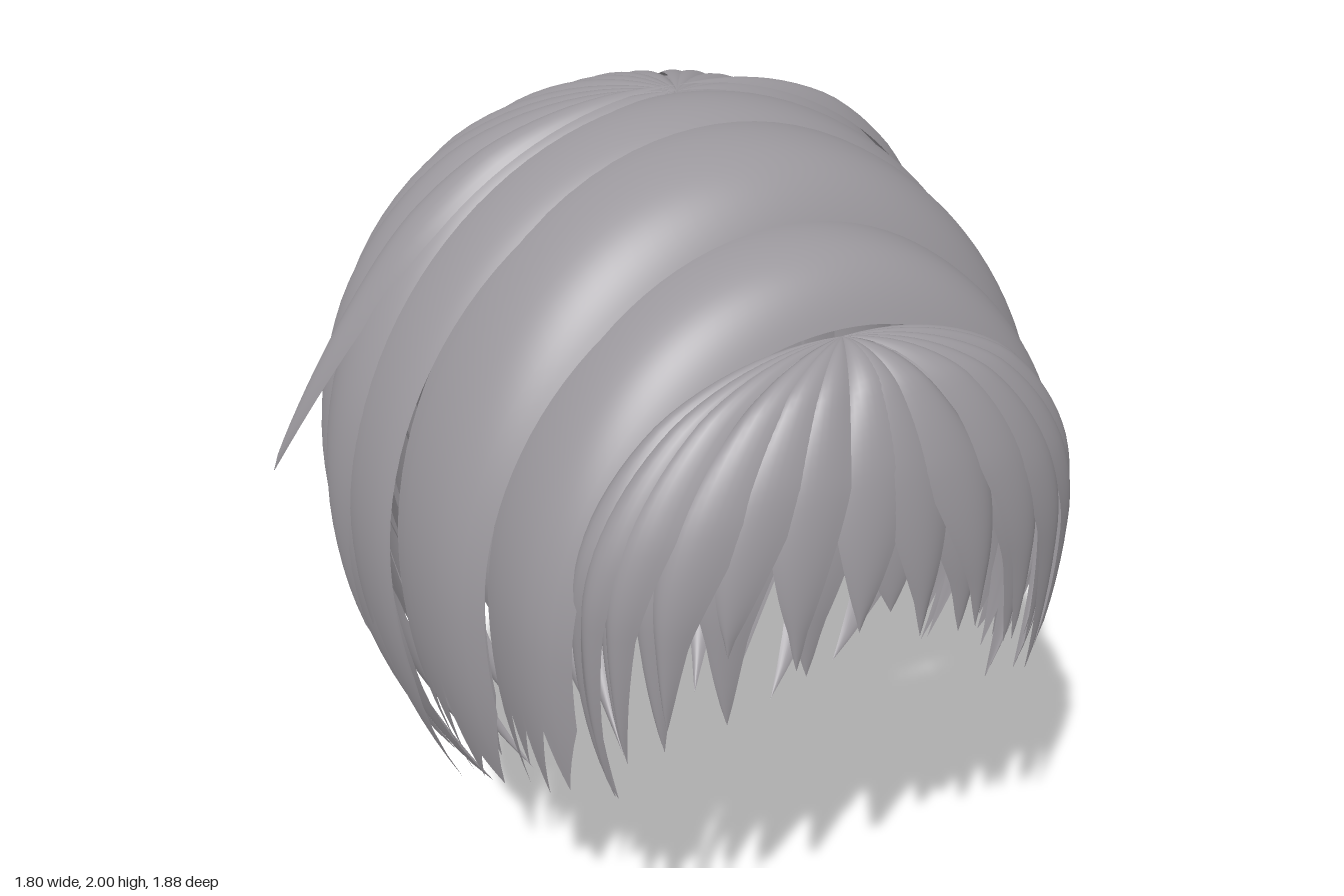
import * as THREE from 'three';

const hairMat = new THREE.MeshStandardMaterial({ color: 0x9b989d, side: THREE.DoubleSide });
hairMat.name = 'greyHair';

const rad = THREE.MathUtils.degToRad;

// Smooth sheet from a rule fn(u, v), wound so its front faces away from the head centre
function sheet(name, nu, nv, fn) {
  const pos = [], idx = [];
  for (let j = 0; j <= nv; j++) {
    for (let i = 0; i <= nu; i++) pos.push(...fn(i / nu, j / nv));
  }
  const at = k => new THREE.Vector3().fromArray(pos, k * 3);
  const w = nu + 1;
  const k = Math.floor(nv * 0.3) * w + Math.floor(nu / 2);
  const normal = at(k + w).sub(at(k)).cross(at(k + 1).sub(at(k)));
  const flip = normal.dot(at(k).sub(new THREE.Vector3(0, 1, 0))) < 0;
  for (let j = 0; j < nv; j++) {
    for (let i = 0; i < nu; i++) {
      const a = j * w + i, b = a + 1, c = a + w, d = c + 1;
      if (flip) idx.push(a, b, c, b, d, c);
      else idx.push(a, c, b, b, c, d);
    }
  }
  const geo = new THREE.BufferGeometry();
  geo.setAttribute('position', new THREE.Float32BufferAttribute(pos, 3));
  geo.setIndex(idx);
  geo.computeVertexNormals();
  const mesh = new THREE.Mesh(geo, hairMat);
  mesh.name = name;
  return mesh;
}

// Head profile: quarter ellipse from the pole to the equator, then tucking inward
const DROP = 1.35;
function profile(s, top, eq) {
  if (s <= 1) {
    const t = s * Math.PI / 2;
    return { r: Math.sin(t), y: eq + (top - eq) * Math.cos(t), up: Math.cos(t) };
  }
  const q = (s - 1) * DROP;
  return { r: 1 - 0.51 * q * q, y: eq - q, up: 0 };
}
function reach(y, top, eq) {
  return y < eq ? 1 + (eq - y) / DROP : Math.acos((y - eq) / (top - eq)) * 2 / Math.PI;
}

// One pointed lock running from the pole of a dome to its tip at angle a; curl swings its root
function lock(name, dome, { a, hw, end, scale = 1, lift = 0.03, curl = 0, flare = 0, taper = 0.62, tilt = 0 }) {
  const { rx, rz, z0, dir, eq } = dome;
  const top = dome.top - (1 - scale) * 0.5;
  const sEnd = reach(end, top, eq);
  return sheet(name, 10, 32, (u, v) => {
    const e = u * 2 - 1;
    const width = v < taper ? 1 : Math.max(0.002, ((1 - v) / (1 - taper)) ** 0.85);
    const ang = rad(a + e * hw * width + curl * (v * v - 1));
    const p = profile(v * sEnd, top, eq);
    const bulge = (lift * (1 - e * e) * Math.sqrt(width) + tilt * e * width) * Math.min(1, v * 3);
    const out = flare * Math.max(0, (v - 0.6) / 0.4) ** 2;
    const k = p.r * scale + bulge + out;
    return [rx * k * Math.cos(ang), p.y + bulge * p.up * 0.6, z0 + dir * rz * k * Math.sin(ang)];
  });
}

// Arched band lying over the head from side to side, with a jagged hem
function band(name, { z0, z1, top, x, hem, fold, lean }) {
  const n = hem.length - 1;
  return sheet(name, n * 4, 64, (u, v) => {
    const side = v * 2 - 1;
    const f = Math.min(u * n, n - 1e-6), i = Math.floor(f);
    const y = THREE.MathUtils.lerp(hem[i], hem[i + 1], f - i);
    const inset = lean * u + fold * u ** 5 + 0.02 * (1 - u) ** 4;
    const p = profile(Math.abs(side) * reach(y, top, 1.1), top, 1.1);
    const py = p.y > 1.1 ? 1.1 + (p.y - 1.1) * (1 - inset * 1.7) : p.y;
    return [Math.sign(side) * x * p.r * (1 - inset), py, THREE.MathUtils.lerp(z0, z1, u)];
  });
}

export function createModel() {
  const model = new THREE.Group();
  model.name = 'hair';
  const group = name => {
    const g = new THREE.Group();
    g.name = name;
    model.add(g);
    return g;
  };

  // Back hair: three layers radiating from the crown, each longer than the one above
  const crown = { rx: 0.82, rz: 0.945, z0: 0, dir: -1, top: 2, eq: 1.1 };
  const layers = [
    { name: 'outerBackLock', count: 13, scale: 0.975, side: 0.82, back: 0.7, jag: 0.13, over: 1.2, taper: 0.62 },
    { name: 'middleBackLock', count: 13, scale: 0.955, side: 0.5, back: 0.4, jag: 0.1, over: 1.3, taper: 0.68 },
    { name: 'lowerBackLock', count: 12, scale: 0.93, side: 0.3, back: 0.06, jag: 0.05, over: 1.4, taper: 0.77 },
  ];
  const backHair = group('backHair');
  layers.forEach((l, n) => {
    const step = 180 / l.count;
    for (let i = 0; i < l.count; i++) {
      const a = (i + 0.5) * step;
      const end = l.side + (l.back - l.side) * Math.sin(rad(a)) + l.jag * Math.sin(i * 2.4 + n);
      backHair.add(lock(l.name, crown, {
        a, hw: step * 0.5 * l.over, end: Math.max(0.03, end), scale: l.scale,
        curl: 3 * Math.sin(i * 1.9 + n), taper: l.taper, tilt: a < 90 ? 0.015 : -0.015,
      }));
    }
  });
  // Longest nape tip
  backHair.add(lock('napeLock', crown, { a: 90, hw: 10, end: 0, scale: 0.92, taper: 0.75 }));

  // Flicked locks sweeping off the crown on both sides
  const flicks = group('flickedLocks');
  for (const a of [14, 166]) {
    flicks.add(lock('flickedLock', crown, {
      a, hw: 7, end: 1.16, scale: 1, lift: 0.035, curl: a < 90 ? 9 : -9, flare: 0.13, taper: 0.5,
    }));
  }

  // Bands stepping down from the crown to the fringe
  const bands = group('sideBands');
  bands.add(band('crownBand', { z0: -0.04, z1: 0.2, top: 2, x: 0.81, lean: 0.015, fold: 0.02,
    hem: [0.95, 0.86, 0.9, 0.7, 0.48, 0.82] }));
  bands.add(band('middleBand', { z0: 0.16, z1: 0.48, top: 1.99, x: 0.765, lean: 0.04, fold: 0.07,
    hem: [0.8, 0.52, 0.82, 0.65, 0.84, 0.63, 0.72, 0.66, 0.88] }));
  bands.add(band('frontBand', { z0: 0.43, z1: 0.7, top: 1.86, x: 0.665, lean: 0.035, fold: 0.085,
    hem: [0.84, 0.66, 0.88, 0.76, 0.88, 0.73, 0.92, 0.78, 0.95] }));
  bands.add(band('innerBand', { z0: 0.08, z1: 0.45, top: 1.9, x: 0.725, lean: 0.05, fold: 0.03,
    hem: [0.9, 0.7, 0.55, 0.85, 0.72, 0.9, 0.7, 0.9] }));

  // Fringe: locks sweeping out from the front parting, [tip angle, half width, tip height]
  const front = { rx: 0.565, rz: 0.24, z0: 0.7, dir: 1, top: 1.7, eq: 1.2 };
  const fringe = group('fringe');
  [
    [-16, 14, 0.72], [0, 14, 0.77], [17, 14, 0.88], [35, 14, 0.87], [51, 13, 1.0], [67, 12, 1.09],
    [83, 11, 1.12], [98, 11, 1.17], [112, 11, 1.11], [128, 13, 1.16], [145, 14, 0.99], [162, 14, 0.89],
    [179, 14, 0.76], [196, 14, 0.7],
  ].forEach(([a, hw, end], i) => fringe.add(lock('fringeLock', front, {
    a, hw, end, scale: 0.98, lift: 0.045, taper: 0.6, tilt: a < 90 ? 0.03 : -0.03,
    curl: (a - 90) * 0.12 + 3 * Math.sin(i * 2.1),
  })));
  // Locks filling the gaps beneath the fringe
  for (let i = 0; i < 9; i++) {
    const a = 10 + i * 20;
    fringe.add(lock('underFringeLock', front, {
      a, hw: 12, end: 1.19 - 0.31 * Math.abs(Math.cos(rad(a))), scale: 0.93, taper: 0.68,
    }));
  }
  return model;
}
